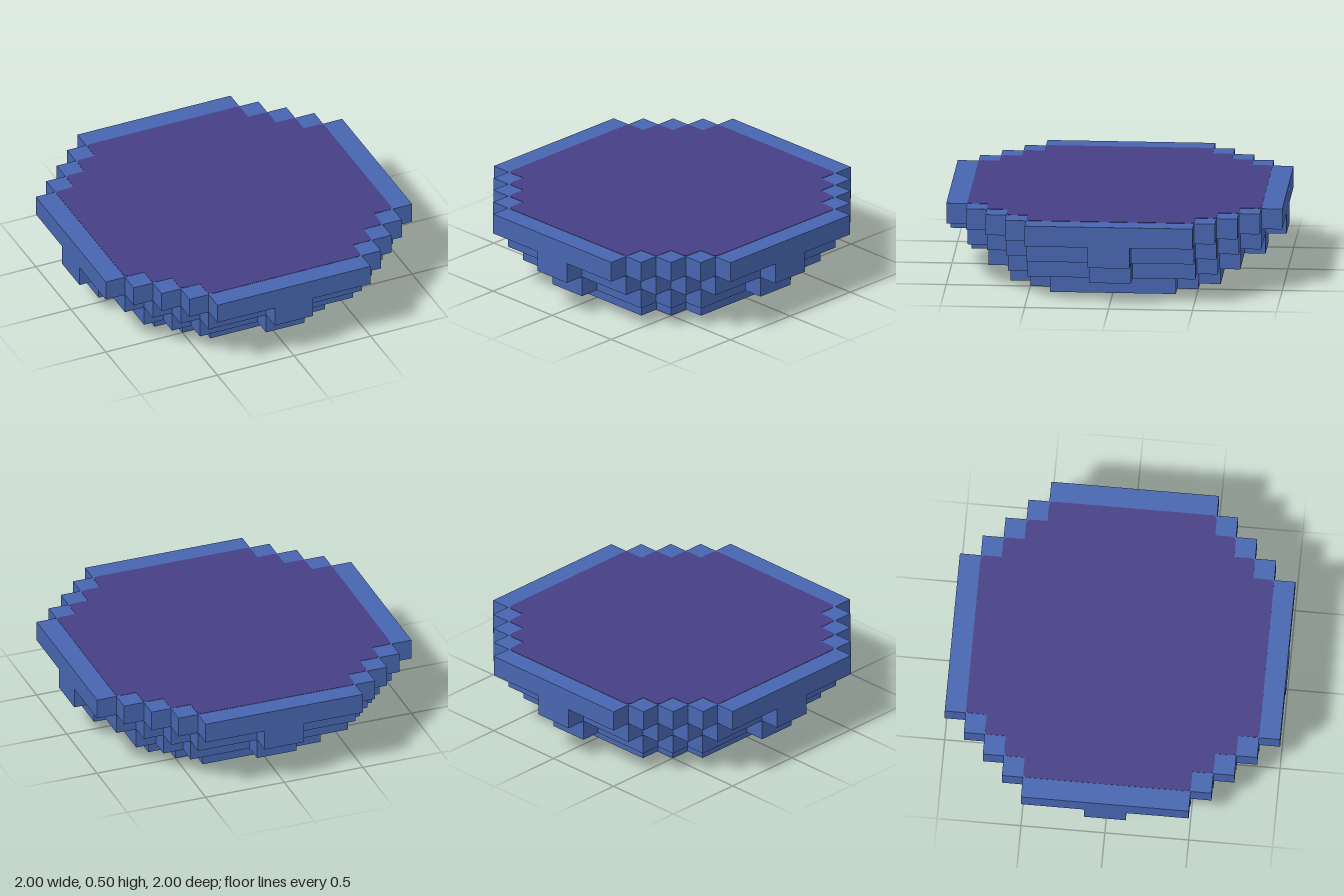
import * as THREE from 'three';

const U = 0.125; // one block

// Stepped round outline: w = half width, s = half length of the straight side (in blocks).
// r rounds the outward corners.
function steppedShape(w, s, r = 0) {
  const quadrant = [];
  for (let a = w, b = s; a >= s; a--, b++) {
    quadrant.push({ x: a * U, y: b * U, convex: true });
    if (a > s) quadrant.push({ x: (a - 1) * U, y: b * U, convex: false });
  }
  const pts = [];
  let q = quadrant;
  for (let i = 0; i < 4; i++) {
    pts.push(...q);
    q = q.map(p => ({ x: -p.y, y: p.x, convex: p.convex }));
  }
  const shape = new THREE.Shape();
  const toward = (p, t) => {
    const d = Math.hypot(t.x - p.x, t.y - p.y);
    return [p.x + (t.x - p.x) * r / d, p.y + (t.y - p.y) * r / d];
  };
  pts.forEach((p, i) => {
    const prev = pts[(i + pts.length - 1) % pts.length];
    const next = pts[(i + 1) % pts.length];
    const rounded = r > 0 && p.convex;
    const start = rounded ? toward(p, prev) : [p.x, p.y];
    if (i === 0) shape.moveTo(...start);
    else shape.lineTo(...start);
    if (rounded) shape.quadraticCurveTo(p.x, p.y, ...toward(p, next));
  });
  shape.closePath();
  return shape;
}

// Horizontal slab from an outline
function slab(name, shape, y, height, material) {
  const geo = new THREE.ExtrudeGeometry(shape, { depth: height, bevelEnabled: false, curveSegments: 4 });
  geo.rotateX(-Math.PI / 2);
  const mesh = new THREE.Mesh(geo, material);
  mesh.name = name;
  mesh.position.y = y;
  return mesh;
}

export function createModel() {
  const blue = new THREE.MeshStandardMaterial({ color: 0x4766b0 });
  blue.name = 'blue';
  const purple = new THREE.MeshStandardMaterial({ color: 0x463f85 });
  purple.name = 'purple';

  const model = new THREE.Group();
  model.name = 'steppedPlatform';

  // Four stacked tiers, widening upwards
  model.add(
    slab('baseTier', steppedShape(5, 3), 0, U, blue),
    slab('lowerTier', steppedShape(6, 4), U, U, blue),
    slab('upperTier', steppedShape(7, 4), 2 * U, U, blue),
    slab('rimTier', steppedShape(8, 4), 3 * U, U, blue),
    // Painted floor inside the rim
    slab('floorPanel', steppedShape(7, 4, 0.03), 4 * U, 0.002, purple)
  );

  // Stepped bracket in the middle of each side
  const block = new THREE.BoxGeometry(2 * U, U, U);
  for (let i = 0; i < 4; i++) {
    const bracket = new THREE.Group();
    bracket.name = 'sideBracket';
    for (const [row, out] of [[1, 6], [2, 7]]) {
      const mesh = new THREE.Mesh(block, blue);
      mesh.name = 'bracketBlock';
      mesh.position.set(0, (row + 0.5) * U, (out + 0.5) * U);
      bracket.add(mesh);
    }
    bracket.rotation.y = i * Math.PI / 2;
    model.add(bracket);
  }
  return model;
}
